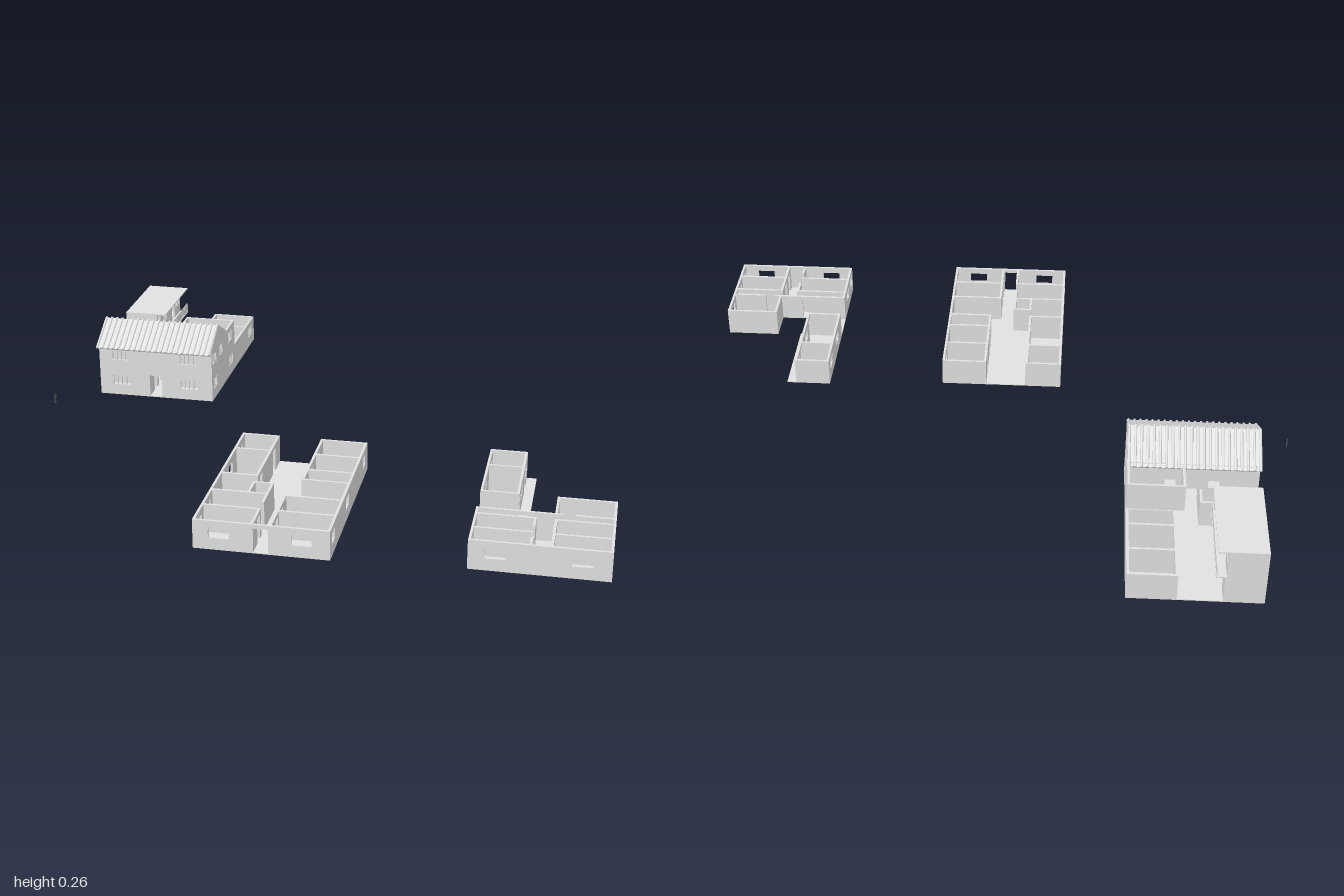
import * as THREE from 'three';

const plaster = new THREE.MeshStandardMaterial({ color: 0xe1e1e1 });
plaster.name = 'light grey plaster';
const dark = new THREE.MeshStandardMaterial({ color: 0x555555 });
dark.name = 'charcoal';

const H = 0.095; // storey height
const T = 0.008; // wall thickness
const W = 0.416, D = 0.635; // plan size, local x and z from the back right corner

function box(g, name, x0, x1, y0, y1, z0, z1, mat = plaster) {
  const m = new THREE.Mesh(new THREE.BoxGeometry(x1 - x0, y1 - y0, z1 - z0), mat);
  m.position.set((x0 + x1) / 2, (y0 + y1) / 2, (z0 + z1) / 2);
  m.name = name;
  g.add(m);
}

// openings: [centre, width, bottom, top] measured along the wall
const win = (c, w = 0.05) => [c, w, 0.037, 0.075];
const door = (c, w = 0.036) => [c, w, 0, 0.082];

// Wall along x or z from a to b, its thickness starting at p, with openings and window frames
function wall(g, axis, p, a, b, openings = [], bars = 0) {
  const put = (name, s, e, y0, y1, q0 = p, q1 = p + T) => {
    if (e - s < 1e-4 || y1 - y0 < 1e-4) return;
    if (axis === 'x') box(g, name, s, e, y0, y1, q0, q1);
    else box(g, name, q0, q1, y0, y1, s, e);
  };
  let at = a;
  for (const [c, w, y0, y1] of openings) {
    const s = c - w / 2, e = c + w / 2;
    put('wallPier', at, s, 0, H);
    put('sillWall', s, e, 0, y0);
    put('lintel', s, e, y1, H);
    at = e;
    if (y0 === 0) continue;
    const f = 0.002, q0 = p + 0.001, q1 = p + T - 0.001;
    put('frameSide', s, s + f, y0, y1, q0, q1);
    put('frameSide', e - f, e, y0, y1, q0, q1);
    put('frameBottom', s, e, y0, y0 + f, q0, q1);
    put('frameTop', s, e, y1 - f, y1, q0, q1);
    for (let i = 1; i <= bars; i++) {
      const m = s + (w * i) / (bars + 1);
      put('windowBar', m - 0.0015, m + 0.0015, y0, y1, q0, q1);
    }
  }
  put('wallPier', at, b, 0, H);
}

function groundFloor(bars) {
  const g = new THREE.Group();
  g.name = 'groundFloor';
  box(g, 'floor', 0, W, 0, 0.003, 0, D);
  // outer walls
  wall(g, 'x', D - T, 0, W, [win(0.08, 0.065), door(0.207, 0.045), win(0.33, 0.065)], bars);
  wall(g, 'z', 0, 0, D, [win(0.06), win(0.2), win(0.47), win(0.58)], bars);
  wall(g, 'z', W - T, 0, D, [win(0.06), win(0.36), win(0.585)], bars);
  wall(g, 'x', 0, 0, 0.12);
  wall(g, 'x', 0, 0.265, W);
  // rooms beside the courtyard
  wall(g, 'z', 0.116, 0, 0.31, [door(0.085), door(0.27)]);
  wall(g, 'z', 0.262, 0, 0.31, [door(0.085), door(0.2), door(0.275)]);
  for (const z of [0.115, 0.302]) wall(g, 'x', z, 0, 0.12);
  for (const z of [0.115, 0.23, 0.302]) wall(g, 'x', z, 0.265, W);
  // front rooms and hall
  for (const z of [0.422, 0.526]) {
    wall(g, 'x', z, 0, 0.18);
    wall(g, 'x', z, 0.235, W);
  }
  wall(g, 'z', 0.176, 0.35, 0.485);
  wall(g, 'z', 0.176, 0.526, D, [door(0.56)]);
  wall(g, 'z', 0.232, 0.422, D, [door(0.495), door(0.56)]);
  // small enclosure behind the hall
  wall(g, 'x', 0.348, 0.12, 0.18);
  wall(g, 'z', 0.118, 0.35, 0.422, [door(0.4)]);
  return g;
}

function upperFloor(bars) {
  const g = new THREE.Group();
  g.name = 'upperFloor';
  const slab = 0.003;
  box(g, 'balconySlab', 0, 0.152, 0, slab, 0, 0.31);
  box(g, 'landing', 0, 0.12, 0, slab, 0.31, 0.42);
  box(g, 'mainSlab', 0, W, 0, slab, 0.42, D);
  box(g, 'sideSlab', 0.235, W, 0, slab, 0.305, 0.42);
  // rear wing
  wall(g, 'z', 0, 0, 0.31, [win(0.06), win(0.21)], bars);
  wall(g, 'z', 0.112, 0, 0.31, [win(0.04), door(0.095), win(0.21), door(0.285)], bars);
  for (const z of [0, 0.113, 0.302]) wall(g, 'x', z, 0, 0.12);
  // main block
  wall(g, 'x', D - T, 0, W, [win(0.08, 0.065), win(0.33, 0.065)], bars);
  wall(g, 'z', 0, 0.42, D, [win(0.505), win(0.595)], bars);
  wall(g, 'z', W - T, 0.305, D, [win(0.373), win(0.503), win(0.595)], bars);
  wall(g, 'x', 0.305, 0.235, W);
  wall(g, 'z', 0.235, 0.305, 0.42);
  wall(g, 'x', 0.417, 0, 0.26, [door(0.14)]);
  wall(g, 'x', 0.417, 0.295, W);
  // partitions
  for (const z of [0.455, 0.546]) {
    wall(g, 'x', z, 0, 0.18);
    wall(g, 'x', z, 0.24, W);
  }
  wall(g, 'z', 0.176, 0.455, 0.515);
  wall(g, 'z', 0.176, 0.58, D);
  wall(g, 'z', 0.237, 0.455, D, [door(0.52), door(0.585)]);
  return g;
}

// Gabled, ribbed roof with filled gable ends, in house-local coordinates
function gableRoof() {
  const g = new THREE.Group();
  g.name = 'gableRoof';
  const ridgeZ = 0.53, ridgeY = 0.252, half = 0.124, drop = 0.07;
  const len = Math.hypot(half, drop), tilt = Math.atan2(drop, half);
  for (const side of [-1, 1]) {
    const slope = new THREE.Group();
    slope.name = side > 0 ? 'frontSlope' : 'backSlope';
    slope.position.set(0, ridgeY, ridgeZ);
    slope.rotation.x = side * tilt;
    const z0 = Math.min(0, side * len), z1 = Math.max(0, side * len);
    box(slope, 'roofPanel', -0.005, W, -0.005, 0, z0, z1);
    for (let i = 0; i < 22; i++) {
      const rib = new THREE.Mesh(new THREE.CylinderGeometry(0.0045, 0.0045, len, 8), plaster);
      rib.rotation.x = Math.PI / 2;
      rib.position.set(-0.001 + i * 0.0196, 0.0005, side * len / 2);
      rib.name = 'roofRib';
      slope.add(rib);
    }
    g.add(slope);
  }
  const s = new THREE.Shape();
  s.moveTo(-0.105, 0.188);
  s.lineTo(0.105, 0.188);
  s.lineTo(0, 0.248);
  for (const x of [0, W - T]) {
    const m = new THREE.Mesh(new THREE.ExtrudeGeometry(s, { depth: T, bevelEnabled: false }), plaster);
    m.rotation.y = Math.PI / 2;
    m.position.set(x, 0, ridgeZ);
    m.name = 'gableEnd';
    g.add(m);
  }
  return g;
}

function balconyRail() {
  const g = new THREE.Group();
  g.name = 'balconyRail';
  const y0 = H, y1 = 0.13, x = 0.148;
  box(g, 'topRail', x, x + 0.003, y1 - 0.003, y1, 0, 0.31);
  box(g, 'railPanel', x + 0.001, x + 0.002, y0, y1 - 0.003, 0, 0.31);
  for (let i = 0; i <= 8; i++) {
    const z = i * 0.0384;
    box(g, 'railPost', x, x + 0.003, y0, y1, z, z + 0.003);
  }
  return g;
}

// Thin cut-out figure
function person() {
  const g = new THREE.Group();
  g.name = 'standingFigure';
  const t = 0.0005;
  for (const s of [-1, 1]) {
    box(g, 'leg', -t, t, 0.005, 0.023, s * 0.002 - 0.0012, s * 0.002 + 0.0012, dark);
    box(g, 'arm', -t, t, 0.021, 0.036, s * 0.0045 - 0.0007, s * 0.0045 + 0.0007, dark);
  }
  box(g, 'torso', -t, t, 0.022, 0.037, -0.0035, 0.0035, dark);
  const head = new THREE.Mesh(new THREE.CylinderGeometry(0.0028, 0.0028, 2 * t, 12), dark);
  head.rotation.z = Math.PI / 2;
  head.position.y = 0.04;
  head.name = 'head';
  g.add(head);
  return g;
}

export function createModel() {
  const model = new THREE.Group();
  model.name = 'houseWithFloorPlans';

  // complete house
  const house = new THREE.Group();
  house.name = 'house';
  const upper = upperFloor(3);
  upper.position.y = H;
  house.add(groundFloor(3), upper, gableRoof(), balconyRail());
  box(house, 'flatRoof', 0, 0.152, 2 * H, 2 * H + 0.004, 0, 0.31);
  house.position.set(-0.87, 0, -0.86);

  // separate storeys
  const groundPlan = groundFloor(0);
  groundPlan.position.set(-0.23, 0, 0.223);
  const upperPlan = upperFloor(0);
  upperPlan.position.set(0.584, 0, 0.193);

  const figure = person();
  figure.position.set(-0.997, 0, -0.09);
  figure.rotation.y = -0.6;
  model.add(house, groundPlan, upperPlan, figure);
  return model;
}
